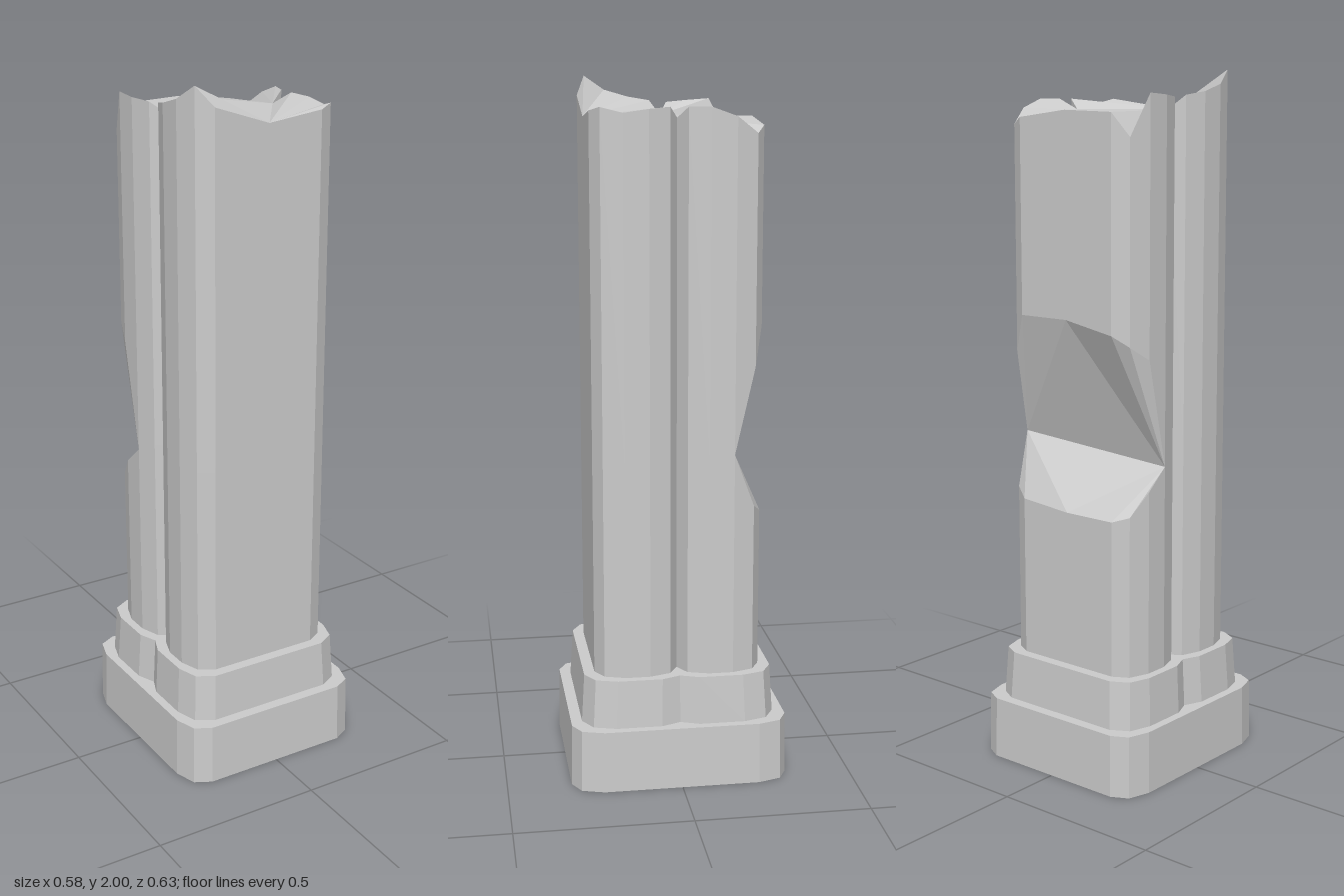
import * as THREE from 'three';

const material = new THREE.MeshStandardMaterial({ color: 0xcccccc, flatShading: true, side: THREE.DoubleSide });

// Mirror a quarter outline (from the +x side to the +z side) into a closed loop of [x, z]
function mirrorOutline(quarter) {
  const flipX = quarter.filter(p => p[0] > 0).reverse().map(([x, z]) => [-x, z]);
  const half = [...quarter, ...flipX];
  const flipZ = half.filter(p => p[1] > 0).reverse().map(([x, z]) => [x, -z]);
  return [...half, ...flipZ];
}

// Flat-shaded mesh from a list of triangles, each with three [x, y, z] corners
function meshFrom(name, triangles) {
  const geometry = new THREE.BufferGeometry();
  geometry.setAttribute('position', new THREE.Float32BufferAttribute(triangles.flat(2), 3));
  geometry.computeVertexNormals();
  const mesh = new THREE.Mesh(geometry, material);
  mesh.name = name;
  return mesh;
}

// Wall between two loops with matching corners
function wall(low, high) {
  return low.flatMap((a, i) => {
    const j = (i + 1) % low.length;
    return [[a, high[i], high[j]], [a, high[j], low[j]]];
  });
}

const atHeight = (outline, y, s = 1) => outline.map(([x, z]) => [x * s, y, z * s]);

// Flat ledge between an outer and an inner outline
function ledge(name, outer, inner, y) {
  const toPoints = o => o.map(([x, z]) => new THREE.Vector2(x, -z));
  const shape = new THREE.Shape(toPoints(outer));
  shape.holes.push(new THREE.Path(toPoints(inner)));
  const mesh = new THREE.Mesh(new THREE.ShapeGeometry(shape).rotateX(-Math.PI / 2), material);
  mesh.position.y = y;
  mesh.name = name;
  return mesh;
}

const scaled = (outline, s) => outline.map(([x, z]) => [x * s, z * s]);

const baseOutline = mirrorOutline([[0.29, 0.225], [0.27, 0.29], [0.222, 0.315]]);
const plinthOutline = mirrorOutline([[0.24, 0], [0.262, 0.055], [0.262, 0.186], [0.242, 0.251], [0.19, 0.28]]);
const shaftOutline = mirrorOutline([
  [0.165, 0], [0.21, 0.025], [0.23, 0.085], [0.23, 0.155], [0.21, 0.215], [0.165, 0.24], [0, 0.24],
]);

// Height of the broken top at each shaft corner
const topHeights = [
  1.89, 1.92, 1.915, 1.905, 1.92, 1.91, 1.89, 1.945, 2.0, 1.96, 1.94, 1.93,
  1.89, 1.925, 1.93, 1.935, 1.82, 1.885, 1.89, 1.87, 1.85, 1.895, 1.92, 1.92,
];

// Lower and upper edge of the chipped hollow in the back, by shaft corner
const chip = {
  14: [0.91, 0.91], 15: [0.85, 1.22], 16: [0.785, 1.26], 17: [0.77, 1.29],
  18: [0.77, 1.32], 19: [0.785, 1.32], 20: [0.81, 1.21], 21: [0.965, 0.965],
};

function createShaft() {
  const group = new THREE.Group();
  group.name = 'shaft';
  const column = (heights) => shaftOutline.map(([x, z], i) => [x, heights(i), z]);
  const foot = column(() => 0.32);
  const chipLow = column(i => (chip[i] ? chip[i][0] : 0.94));
  const chipHigh = column(i => (chip[i] ? chip[i][1] : 0.94));
  const top = column(i => topHeights[i]);

  // Upward fan of triangles from one corner over a run of others
  const fan = (loop, centre, from, to) => {
    const out = [];
    for (let i = from; i < to; i++) out.push([loop[centre], loop[i + 1], loop[i]]);
    return out;
  };

  group.add(meshFrom('shaftWall', [...wall(foot, chipLow), ...wall(chipHigh, top)]));

  // Broken top: four lobed fans around a shallow middle
  group.add(meshFrom('brokenTop', [
    ...fan(top, 6, 0, 5), ...fan(top, 6, 7, 12),
    ...fan(top, 12, 13, 18), ...fan(top, 0, 18, 23),
    [top[6], top[18], top[12]], [top[6], top[0], top[18]],
  ]));

  // Chipped hollow: a lower and an upper slope meeting in a crease
  const slope = loop => [
    ...fan(loop, 14, 15, 18), ...fan(loop, 21, 18, 20), [loop[21], loop[18], loop[14]],
  ];
  group.add(meshFrom('chippedHollow', [
    ...slope(chipLow), ...slope(chipHigh).map(t => [...t].reverse()),
  ]));
  return group;
}

export function createModel() {
  const model = new THREE.Group();
  model.name = 'brokenPillar';

  // Open-bottomed base and plinth, each topped by a ledge
  model.add(meshFrom('base', wall(atHeight(baseOutline, 0), atHeight(baseOutline, 0.18, 0.99))));
  model.add(ledge('baseLedge', scaled(baseOutline, 0.99), plinthOutline, 0.18));
  model.add(meshFrom('plinth', wall(atHeight(plinthOutline, 0.18), atHeight(plinthOutline, 0.32, 0.97))));
  model.add(ledge('plinthLedge', scaled(plinthOutline, 0.97), shaftOutline, 0.32));

  model.add(createShaft());
  return model;
}
